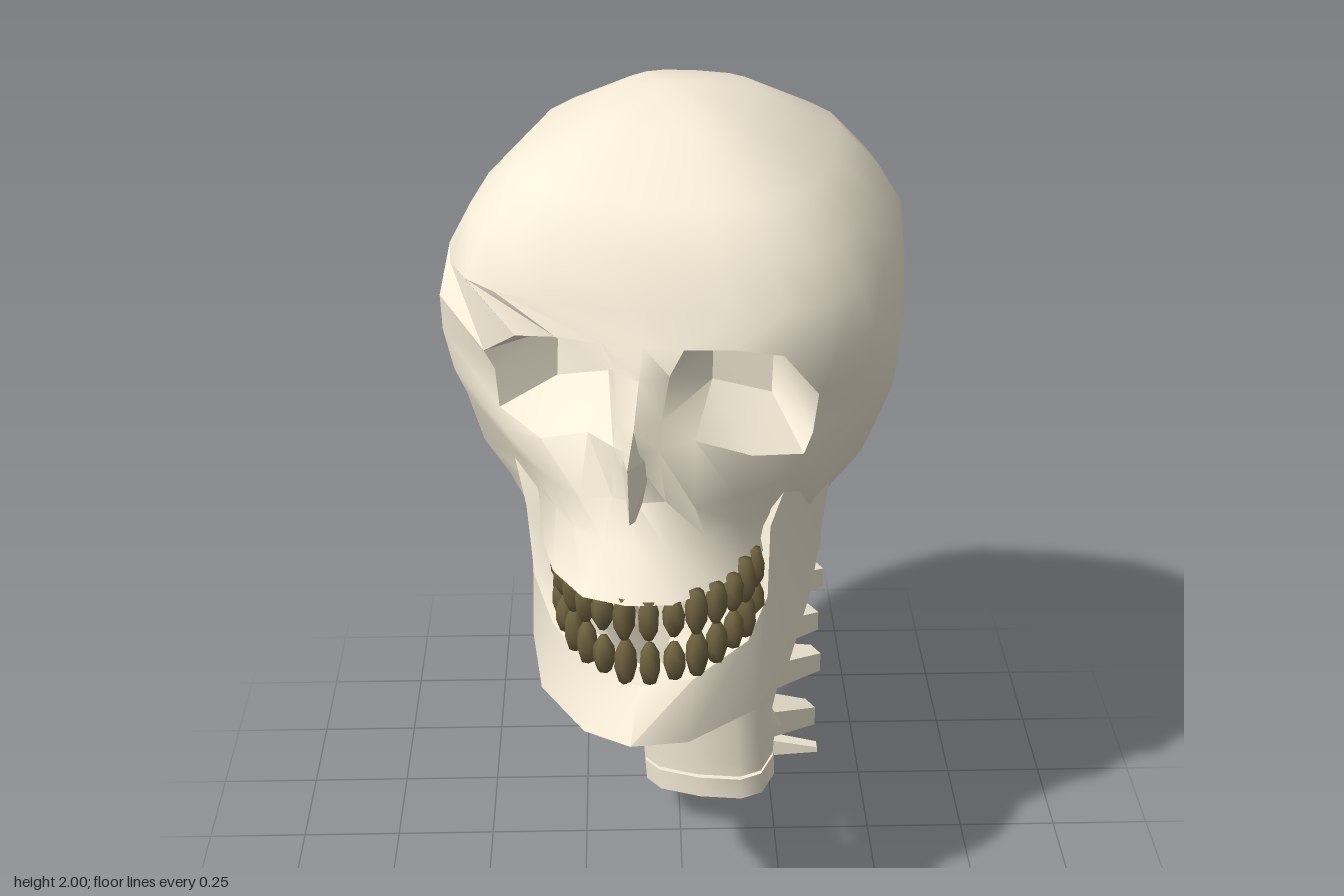
import * as THREE from 'three';
import { toCreasedNormals } from 'three/addons/utils/BufferGeometryUtils.js';
import { ConvexGeometry } from 'three/addons/geometries/ConvexGeometry.js';

const bone = new THREE.MeshStandardMaterial({ color: 0xf6edd8, side: THREE.DoubleSide });
const enamel = new THREE.MeshStandardMaterial({ color: 0x6e6240 });

const V = (x, y, z) => new THREE.Vector3(x, y, z);

// Skin a stack of closed cross-sections and cap both ends
function loft(rows, crease) {
  const n = rows[0].length, last = rows.length - 1, pts = rows.flat(), index = [];
  for (let i = 0; i < last; i++) {
    for (let j = 0; j < n; j++) {
      const k = (j + 1) % n, a = i * n + j, b = a + n, c = (i + 1) * n + k, d = i * n + k;
      index.push(a, b, c, a, c, d);
    }
  }
  for (const i of [0, last]) {
    const centre = V(0, 0, 0);
    rows[i].forEach(p => centre.addScaledVector(p, 1 / n));
    const e = pts.push(centre) - 1;
    for (let j = 0; j < n; j++) {
      const a = i * n + j, b = i * n + (j + 1) % n;
      if (i === 0) index.push(e, a, b); else index.push(e, b, a);
    }
  }
  const g = new THREE.BufferGeometry().setFromPoints(pts);
  g.setIndex(index);
  g.computeVertexNormals();
  return toCreasedNormals(g, crease);
}

function add(parent, name, geometry, material = bone) {
  const mesh = new THREE.Mesh(geometry, material);
  mesh.name = name;
  parent.add(mesh);
  return mesh;
}

const power = (v, n) => Math.sign(v) * Math.abs(v) ** (2 / n);

// Mirror half a ring, front to back, into a full ring; the braincase (columns from
// firstShifted on) sits slightly to the right of the face
function mirrorRing(half, firstShifted) {
  const shift = c => c >= firstShifted ? -0.025 : 0;
  const left = half.map((p, c) => V(p.x + shift(c), p.y, p.z));
  const right = half.map((p, c) => V(-p.x + shift(c), p.y, p.z));
  return [...left, ...right.slice(1, -1).reverse()];
}

function skullGeometry() {
  const rows = [];
  // Vault: height, half width, front z, back z
  const vault = [[1.998, 0.05, -0.07, -0.2], [1.972, 0.17, 0.1, -0.36], [1.87, 0.365, 0.3, -0.54],
    [1.77, 0.46, 0.38, -0.615], [1.67, 0.515, 0.41, -0.675]];
  for (const [y, hw, zf, zb] of vault) {
    const half = [], zc = (zf + zb) / 2;
    for (let c = 0; c < 12; c++) {
      const t = THREE.MathUtils.degToRad(c < 6 ? c * 15 : 90 + (c - 6) * 18);
      half.push(V(c === 11 ? 0 : hw * power(Math.sin(t), 3), y, zc + (zf - zc) * power(Math.cos(t), 3)));
    }
    rows.push(mirrorRing(half, 0));
  }
  // Face: front height, back height, half width, back z, droop of the two outer columns,
  // then x, z from the middle to the temple
  const face = [
    [1.6, 1.55, 0.535, -0.7, 0.02, 0.09, [0, 0.44, 0.09, 0.44, 0.2, 0.42, 0.3, 0.385, 0.39, 0.325, 0.5, 0.2]],
    [1.54, 1.4, 0.54, -0.72, 0.02, 0.08, [0, 0.49, 0.06, 0.45, 0.12, 0.24, 0.25, 0.19, 0.37, 0.31, 0.5, 0.19]],
    [1.45, 1.27, 0.53, -0.73, 0.04, 0.08, [0, 0.55, 0.05, 0.49, 0.12, 0.25, 0.25, 0.21, 0.36, 0.32, 0.48, 0.18]],
    [1.4, 1.18, 0.505, -0.71, 0.05, 0.07, [0, 0.57, 0.05, 0.53, 0.12, 0.47, 0.24, 0.42, 0.345, 0.35, 0.455, 0.17]],
    [1.26, 1.08, 0.46, -0.665, 0, 0, [0, 0.52, 0.06, 0.5, 0.13, 0.52, 0.21, 0.45, 0.3, 0.355, 0.42, 0.16]],
    [1.18, 0.95, 0.38, -0.59, 0, 0, [0, 0.57, 0.07, 0.56, 0.15, 0.5, 0.21, 0.42, 0.27, 0.34, 0.37, 0.13]],
    [1.08, 0.85, 0.26, -0.47, 0, 0, [0, 0.66, 0.1, 0.64, 0.19, 0.54, 0.24, 0.42, 0.27, 0.33, 0.33, 0.1]],
  ];
  for (const [yf, yb, hw, zb, droop3, droop4, p] of face) {
    const half = [], fronts = [yf, yf, yf, yf - droop3, yf - droop4, (yf * 2 + yb) / 3];
    for (let c = 0; c < 6; c++) half.push(V(p[2 * c], fronts[c], p[2 * c + 1]));
    for (let c = 6; c < 12; c++) {
      const t = (c - 6) * Math.PI / 10, zc = -0.04;
      const y = c === 6 ? yf * 0.4 + yb * 0.6 : yb;
      half.push(V(c === 11 ? 0 : hw * power(Math.cos(t), 3), y, zc + (zb - zc) * power(Math.sin(t), 3)));
    }
    rows.push(mirrorRing(half, 5));
  }
  return loft(rows, 0.9);
}

function jawGeometry() {
  // Outer lower edge, outer upper edge, inner x of the lower and upper edge, from chin to hinge
  const stations = [[0, 0.77, 0.745, 0, 0.87, 0.65, 0, 0], [0.12, 0.74, 0.66, 0.12, 0.87, 0.6, 0, 0.07],
    [0.255, 0.72, 0.47, 0.23, 0.89, 0.45, 0.02, 0.15], [0.315, 0.73, 0.26, 0.275, 0.97, 0.38, 0.02, 0.18],
    [0.35, 0.82, 0.07, 0.285, 1.14, 0.355, 0.14, 0.2], [0.365, 0.95, -0.01, 0.335, 1.28, 0.28, 0.28, 0.25],
    [0.375, 1.09, -0.02, 0.41, 1.28, 0.13, 0.32, 0.3]];
  const section = ([a, b, c, d, e, f, lower, upper], side) => {
    const back = a < 0.2 ? 0.08 : 0.01, lean = 0.055 * c - 0.015;
    return [V(side * a + lean, b, c), V(side * d + lean, e, f),
      V(side * upper + lean, e, f - back), V(side * lower + lean, b + 0.02, c - back)];
  };
  return loft([...stations.slice(1).reverse().map(s => section(s, -1)),
    ...stations.map(s => section(s, 1))], 0.9);
}

function addTeeth(parent) {
  const arch = new THREE.CatmullRomCurve3([V(-0.21, 0, 0.37), V(-0.175, 0, 0.5), V(-0.08, 0, 0.61),
    V(0.02, 0, 0.64), V(0.12, 0, 0.61), V(0.215, 0, 0.5), V(0.25, 0, 0.37)]);
  const count = 14;
  // Crown with a pinched root and a tapered tip
  const profile = [[0, -0.5], [0.01, -0.48], [0.024, -0.2], [0.026, 0.15], [0.016, 0.5], [0, 0.5]];
  for (const upper of [true, false]) {
    const row = new THREE.Group();
    row.name = upper ? 'upperTeeth' : 'lowerTeeth';
    parent.add(row);
    for (let i = 0; i < count; i++) {
      const u = (i + 0.5) / count, p = arch.getPointAt(u), t = arch.getTangentAt(u);
      const rise = (0.64 - p.z) * (upper ? 0.08 : 0.2);
      const h = 0.11 - (i % 3) * 0.01;
      const g = new THREE.LatheGeometry(profile.map(q => new THREE.Vector2(q[0], q[1] * h)), 6);
      const tooth = add(row, 'tooth', g, enamel);
      tooth.position.set(p.x, (upper ? 1.035 : 0.92) + rise, p.z - (upper ? 0 : 0.01));
      tooth.rotation.set(0, Math.atan2(-t.z, t.x), upper ? 0 : Math.PI);
    }
  }
}

// Neck column section, turned with the head, with a wider rear where each vertebra flares
function neckRing(y, flare, drop = 0) {
  const ring = [], up = V(0, 1, 0);
  for (let j = 0; j < 12; j++) {
    const t = j * Math.PI / 6, rear = Math.max(0, -Math.cos(t)), r = 1 + flare * rear;
    const p = V(0.172 * r * power(Math.sin(t), 3), y - drop * rear, 0.142 * r * power(Math.cos(t), 3));
    p.applyAxisAngle(up, -0.24);
    ring.push(p.add(V(0.093 - y * 0.065, 0, -0.118)));
  }
  return ring;
}

// Tapered bar from a to b
function prong(parent, name, a, b, w0, w1, h0, h1) {
  const side = b.clone().sub(a).cross(V(0, 1, 0)).normalize();
  const end = (p, w, h) => [[1, 1], [-1, 1], [-1, -1], [1, -1]].map(([s, u]) =>
    p.clone().addScaledVector(side, s * w / 2).add(V(0, u * h / 2, 0)));
  add(parent, name, loft([end(a, w0, h0), end(b, w1, h1)], 0.5));
}

function addNeck(root) {
  const neck = new THREE.Group();
  neck.name = 'neck';
  root.add(neck);
  const levels = [0.72, 0.61, 0.475, 0.345, 0.2];
  const rows = [neckRing(0.97, -0.1), neckRing(0.85, 0.05)];
  for (const y of levels) rows.push(neckRing(y + 0.07, 0.02), neckRing(y + 0.03, 0.3, 0.03));
  rows.push(neckRing(0.19, 0.05));
  add(neck, 'vertebralColumn', loft(rows, 0.9));
  // Paired swept-back processes of each vertebra
  levels.forEach((y, i) => {
    const low = i === 4 ? 0.045 : 0.015, reach = (i % 2) * 0.01;
    prong(neck, 'leftProcess', V(0.16, y + 0.04, -0.19), V(0.365 + reach, y - low + 0.015, -0.3), 0.17, 0.05, 0.09, 0.055);
    prong(neck, 'rightProcess', V(0.08, y + 0.04, -0.2), V(-0.08, y - low, -0.42 - reach), 0.17, 0.05, 0.09, 0.055);
  });
  // Lowest vertebra and its broken-off arch
  add(neck, 'lowestVertebra', loft([neckRing(0.18, 0), neckRing(0.15, -0.08), neckRing(0.12, 0)], 0.9));
  const arch = V(0.14, 0.085, -0.285);
  prong(neck, 'archLeft', arch, V(0.385, 0.06, -0.29), 0.05, 0.03, 0.08, 0.015);
  prong(neck, 'archRight', arch, V(-0.06, 0.065, -0.28), 0.05, 0.03, 0.08, 0.04);
  prong(neck, 'archSpine', arch, V(-0.02, 0.012, -0.4), 0.1, 0.04, 0.06, 0.024);
}

export function createModel() {
  const root = new THREE.Group();
  root.name = 'skullAndNeck';
  const head = new THREE.Group();
  head.name = 'head';
  head.rotation.y = -0.21;
  root.add(head);

  add(head, 'skull', skullGeometry());
  // Nasal bone and septum
  add(head, 'noseBone', new ConvexGeometry([V(0, 1.45, 0.55), V(0, 1.39, 0.62), V(0.04, 1.37, 0.5),
    V(-0.04, 1.37, 0.5), V(0, 1.25, 0.605), V(0, 1.21, 0.5)]));
  add(head, 'jaw', jawGeometry());
  addTeeth(head);
  addNeck(root);
  return root;
}
